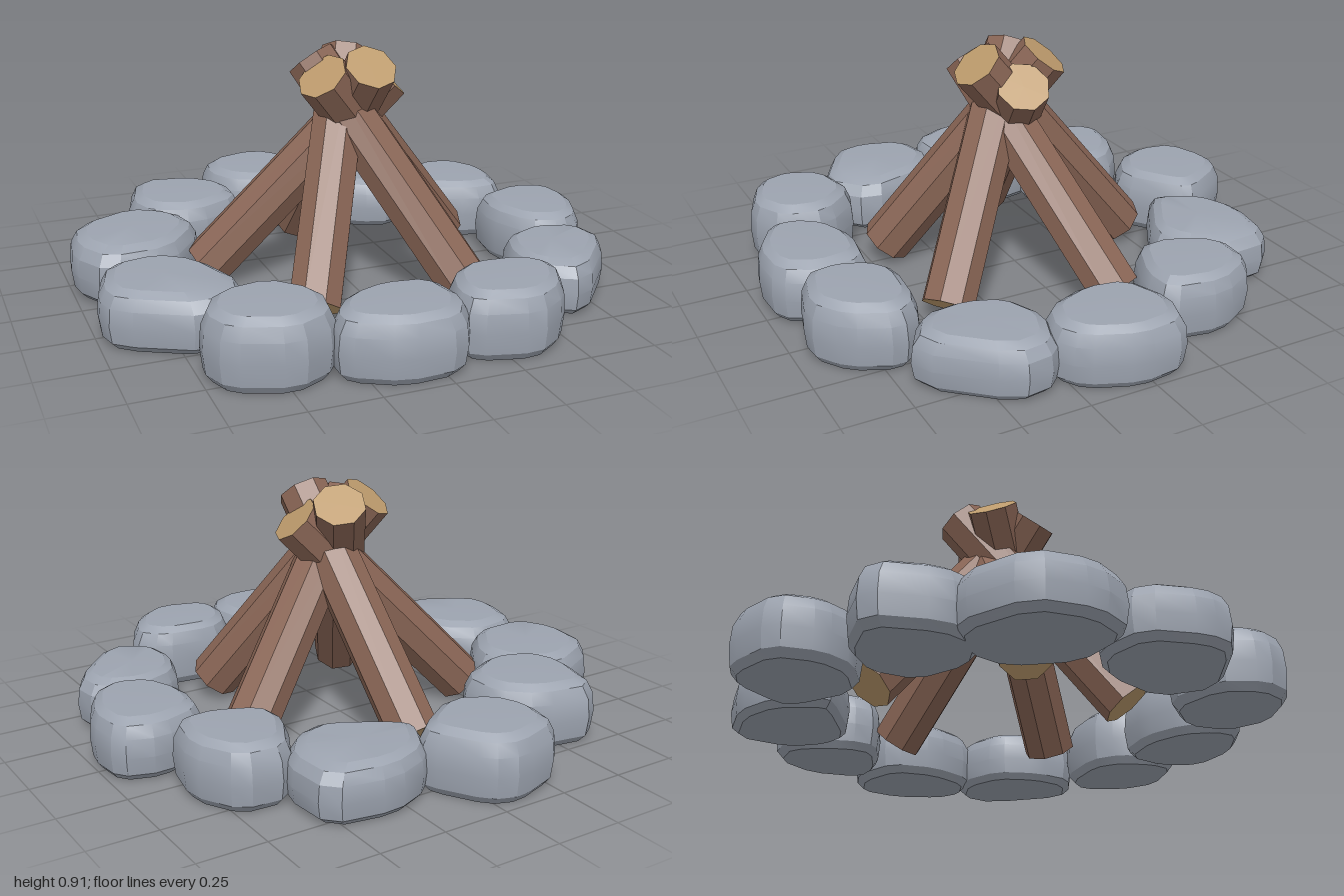
import * as THREE from 'three';
import { toCreasedNormals } from 'three/addons/utils/BufferGeometryUtils.js';

const mat = (name, color) => {
  const m = new THREE.MeshStandardMaterial({ color });
  m.name = name;
  return m;
};

// Trim each corner of an outline (hundredths of a unit, x z pairs) into two points
function trimmedOutline(flat) {
  const pts = [];
  for (let i = 0; i < flat.length; i += 2) pts.push(new THREE.Vector2(flat[i] / 100, flat[i + 1] / 100));
  return pts.flatMap((p, i) => {
    const q = pts[(i + 1) % pts.length];
    return [p.clone().lerp(q, 0.2), p.clone().lerp(q, 0.8)];
  });
}

// Boulder: the outline stacked in rings with a flat base and chamfered top
function stoneGeometry(height, flat) {
  const outline = trimmedOutline(flat), n = outline.length;
  const centre = outline.reduce((s, p) => s.add(p), new THREE.Vector2()).divideScalar(n);
  const rings = [[0, 0.88], [0.12, 0.99], [0.42, 1.03], [0.72, 1.0], [0.91, 0.9], [1, 0.74]];
  const pos = [], index = [];
  for (const [h, s] of rings) {
    for (const p of outline) {
      pos.push(centre.x + (p.x - centre.x) * s, h * height, centre.y + (p.y - centre.y) * s);
    }
  }
  const bottom = pos.length / 3, top = bottom + 1, last = (rings.length - 1) * n;
  pos.push(centre.x, 0, centre.y, centre.x, height * 1.02, centre.y);
  for (let i = 0; i < n; i++) {
    const j = (i + 1) % n;
    for (let r = 0; r < last; r += n) {
      index.push(r + i, r + n + i, r + n + j, r + i, r + n + j, r + j);
    }
    index.push(bottom, i, j, top, last + j, last + i);
  }
  const g = new THREE.BufferGeometry();
  g.setAttribute('position', new THREE.Float32BufferAttribute(pos, 3));
  g.setIndex(index);
  return toCreasedNormals(g, 0.42);
}

export function createModel() {
  const model = new THREE.Group();
  model.name = 'campfire';
  const stoneGrey = mat('stone grey', 0x9ca3af);
  const bark = mat('bark brown', 0x8a6656);
  const cutWood = mat('cut wood tan', 0xbc9a6c);

  // Ring of stones
  const ring = new THREE.Group();
  ring.name = 'stoneRing';
  model.add(ring);
  const stone = (height, ...outline) => {
    const m = new THREE.Mesh(stoneGeometry(height, outline), stoneGrey);
    m.name = 'stone' + (ring.children.length + 1);
    ring.add(m);
  };
  stone(0.24, -8, -99, 3, -95, 15, -75, 13, -68, -9, -53, -26, -62, -32, -75, -29, -92);
  stone(0.20, 32, -84, 56, -80, 58, -57, 48, -44, 35, -40, 7, -57, 7, -62, 15, -77);
  stone(0.23, 56, -58, 74, -57, 84, -39, 80, -17, 66, -16, 46, -25, 45, -37);
  stone(0.22, 83, -18, 98, -13, 100, 5, 92, 24, 82, 30, 68, 25, 61, 7, 64, -11);
  stone(0.20, 71, 24, 88, 30, 90, 45, 66, 72, 50, 63, 48, 47, 54, 31);
  stone(0.24, 24, 58, 47, 60, 55, 70, 47, 87, 33, 96, 11, 90, 9, 79, 14, 65);
  stone(0.23, -10, 61, 10, 64, 13, 83, 5, 97, -16, 98, -34, 88, -34, 78, -26, 67);
  stone(0.25, -45, 48, -30, 64, -33, 82, -49, 90, -70, 82, -75, 68, -67, 52);
  stone(0.21, -73, 2, -58, 13, -49, 40, -66, 55, -96, 39, -99, 27, -93, 6);
  stone(0.22, -71, -48, -54, -37, -50, -20, -66, 2, -91, 4, -100, -13, -97, -35);
  stone(0.24, -64, -75, -40, -71, -27, -59, -27, -40, -48, -29, -66, -35, -71, -50);

  // Leaning eight-sided logs: base centre, top centre
  const logs = new THREE.Group();
  logs.name = 'logs';
  model.add(logs);
  [
    [[-0.01, 0.07, -0.475], [0.05, 0.85, 0.18]],
    [[-0.50, 0.07, -0.11], [0.165, 0.78, 0.05]],
    [[0.50, 0.07, -0.15], [-0.12, 0.82, 0.13]],
    [[-0.265, 0.07, 0.43], [0.06, 0.85, -0.09]],
    [[0.32, 0.07, 0.435], [-0.10, 0.85, -0.035]],
  ].forEach(([a, b], i) => {
    const base = new THREE.Vector3(...a), tip = new THREE.Vector3(...b);
    const axis = tip.clone().sub(base);
    const g = toCreasedNormals(new THREE.CylinderGeometry(0.098, 0.098, axis.length(), 8), 0.1);
    const log = new THREE.Mesh(g, [bark, cutWood, cutWood]);
    log.name = 'log' + (i + 1);
    log.position.copy(base).lerp(tip, 0.5);
    log.quaternion.setFromUnitVectors(new THREE.Vector3(0, 1, 0), axis.normalize());
    logs.add(log);
  });
  return model;
}
